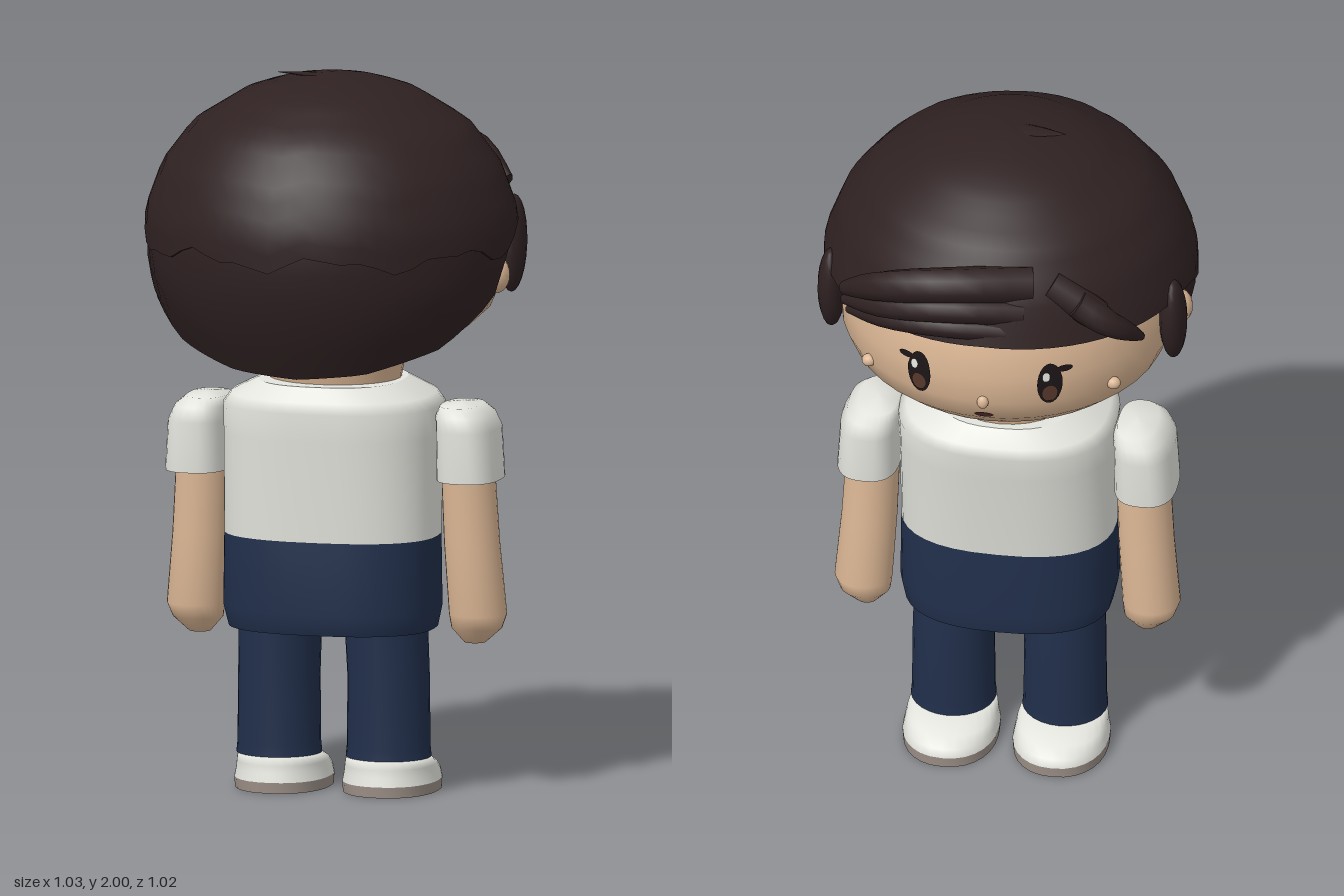
import * as THREE from 'three';

const mat = (name, color, side = THREE.FrontSide) => {
  const m = new THREE.MeshStandardMaterial({ color, side });
  m.name = name;
  return m;
};

// Piecewise-linear lookup in [key, value] pairs
function lookup(table, k) {
  for (let i = 1; i < table.length; i++) {
    const [k0, v0] = table[i - 1], [k1, v1] = table[i];
    if (k <= k1) return v0 + (v1 - v0) * Math.max(0, (k - k0) / (k1 - k0));
  }
  return table[table.length - 1][1];
}

// Closed rings of points joined into a surface
function rings(rows, cols, point) {
  const pos = [], idx = [];
  for (let i = 0; i < rows; i++)
    for (let j = 0; j < cols; j++) {
      pos.push(...point(i, j / cols));
      if (i === rows - 1) continue;
      const a = i * cols + j, b = i * cols + (j + 1) % cols;
      idx.push(a, b, a + cols, b, b + cols, a + cols);
    }
  const g = new THREE.BufferGeometry();
  g.setAttribute('position', new THREE.Float32BufferAttribute(pos, 3));
  g.setIndex(idx);
  g.computeVertexNormals();
  return g;
}

// Stack of rounded sections [y, cx, cz, rx, rz]; a repeated section makes a sharp edge
function loft(sections, power = 2, cols = 28) {
  const e = 2 / power, f = v => Math.sign(v) * Math.abs(v) ** e;
  return rings(sections.length, cols, (i, t) => {
    const [y, cx, cz, rx, rz] = sections[i], a = t * Math.PI * 2;
    return [cx + rx * f(Math.sin(a)), y, cz + rz * f(Math.cos(a))];
  });
}

// Tapered strand along a curve
function strand(points, thick, high, tipScale = 0.35) {
  const curve = new THREE.CatmullRomCurve3(points.map(p => new THREE.Vector3(...p)));
  const n = 10, up = new THREE.Vector3(0, 1, 0);
  return rings(n + 5, 8, (i, t) => {
    const u = Math.min(1, Math.max(0, (i - 2) / n));
    const c = curve.getPoint(u), tan = curve.getTangent(u);
    const side = tan.clone().cross(up).normalize(), v = side.clone().cross(tan);
    const s = i === 0 || i === n + 4 ? 0 : 1 - (1 - tipScale) * u ** 3;
    const a = t * Math.PI * 2;
    c.addScaledVector(side, Math.cos(a) * thick * s).addScaledVector(v, Math.sin(a) * high * s);
    return c.toArray();
  });
}

const HEAD = [[1.24, 0.19], [1.27, 0.29], [1.3, 0.375], [1.35, 0.43], [1.42, 0.46], [1.5, 0.465],
  [1.6, 0.455], [1.75, 0.4], [1.85, 0.28], [1.9, 0]];
const HAIR = [[1.2, 0.4], [1.3, 0.455], [1.4, 0.5], [1.5, 0.517], [1.62, 0.515], [1.75, 0.468],
  [1.86, 0.385], [1.95, 0.24], [1.98, 0.15], [1.995, 0.06], [2, 0]];
// Hair edge height by degrees away from the back
const EDGE = [[0, 1.205], [27, 1.22], [57, 1.28], [78, 1.4], [84, 1.51], [92, 1.58], [105, 1.6],
  [120, 1.6], [180, 1.62]];

function hairShell(scale, edgeAt) {
  const n = 16;
  return rings(n + 3, 64, (i, t) => {
    const a = t * Math.PI * 2, back = Math.cos(a);
    const edge = edgeAt(180 * (t < 0.5 ? 2 * t : 2 - 2 * t), t);
    const y = edge + (2 - edge) * Math.sin(Math.max(0, i - 2) / n * Math.PI / 2);
    const r = lookup(HAIR, y) * scale * (back < 0 ? 1 + 0.04 * back : 1) * (i === 0 ? 0.88 : 1);
    return [r * Math.sin(a), y, r * back];
  });
}

// Thin oval wrapped onto the face; turn is the angle from the middle of the face
function facePatch(turn, y0, w, h, lift) {
  const g = new THREE.CircleGeometry(1, 24), p = g.attributes.position;
  for (let i = 0; i < p.count; i++) {
    const y = y0 + p.getY(i) * h, r = lookup(HEAD, y) + lift, a = turn + p.getX(i) * w / 0.465;
    p.setXYZ(i, -r * Math.sin(a), y, -0.02 - r * Math.cos(a));
  }
  g.computeVertexNormals();
  return g;
}

export function createModel() {
  const model = new THREE.Group();
  const skin = mat('skin', 0xdcb795);
  const hair = mat('dark hair', 0x2f2122, THREE.DoubleSide);
  const white = mat('white cloth', 0xe4e4de);
  const navy = mat('navy cloth', 0x212f4b);
  const sole = mat('sole grey', 0x9c9087);
  const black = mat('eye dark', 0x1c1517);
  const iris = mat('iris brown', 0x59392c);
  const mouthRed = mat('mouth', 0x4b2725);

  const add = (name, geo, material) => {
    const m = new THREE.Mesh(geo, material);
    m.name = name;
    model.add(m);
    return m;
  };
  const blob = (name, material, x, y, z, sx, sy, sz) => {
    const m = add(name, new THREE.SphereGeometry(1, 16, 12), material);
    m.position.set(x, y, z);
    m.scale.set(sx, sy, sz);
    return m;
  };

  // Body
  add('shorts', loft([[0.46, 0, -0.01, 0, 0], [0.46, 0, -0.01, 0.287, 0.21], [0.46, 0, -0.01, 0.287, 0.21],
    [0.52, 0, -0.005, 0.3, 0.225], [0.72, 0, -0.005, 0.298, 0.213]], 2.5, 36), navy);
  add('shirt', loft([[0.72, 0, -0.005, 0.298, 0.213], [1, 0, -0.015, 0.3, 0.24], [1.08, 0, -0.02, 0.302, 0.252],
    [1.11, 0, -0.02, 0.28, 0.243], [1.15, 0, -0.015, 0.2, 0.205], [1.15, 0, -0.015, 0.2, 0.205],
    [1.15, 0, -0.015, 0, 0]], 2.5, 36), white);
  add('neck', loft([[1.13, 0, -0.03, 0.18, 0.165], [1.26, 0, -0.025, 0.205, 0.195]]), skin);

  // Limbs
  for (const s of [1, -1]) {
    const side = s > 0 ? 'Left' : 'Right';
    const part = (name, sections, material, power) =>
      add(name + side, loft(sections.map(([y, x, ...r]) => [y, x * s, ...r]), power), material);
    part('arm', [[0.415, 0.39, -0.055, 0, 0], [0.42, 0.39, -0.055, 0.03, 0.03], [0.46, 0.395, -0.055, 0.07, 0.065],
      [0.5, 0.4, -0.05, 0.08, 0.08], [0.7, 0.385, -0.042, 0.077, 0.077], [0.92, 0.375, -0.035, 0.074, 0.076]], skin);
    part('sleeve', [[0.88, 0.385, -0.03, 0.05, 0.06], [0.88, 0.385, -0.03, 0.087, 0.125], [0.88, 0.385, -0.03, 0.087, 0.125],
      [1.02, 0.38, -0.03, 0.083, 0.13], [1.06, 0.37, -0.03, 0.075, 0.118], [1.085, 0.36, -0.03, 0.055, 0.095],
      [1.09, 0.36, -0.03, 0, 0]], white, 2.6);
    part('leg', [[0.1, 0.155, -0.017, 0, 0], [0.1, 0.155, -0.017, 0.118, 0.117], [0.1, 0.155, -0.017, 0.118, 0.117],
      [0.13, 0.155, -0.017, 0.115, 0.115], [0.32, 0.155, -0.017, 0.113, 0.115], [0.47, 0.15, -0.01, 0.115, 0.11]], navy);
    part('sole', [[0, 0.153, -0.065, 0, 0], [0, 0.153, -0.065, 0.131, 0.172], [0, 0.153, -0.065, 0.131, 0.172],
      [0.03, 0.153, -0.065, 0.133, 0.174]], sole, 2.2);
    part('shoe', [[0.03, 0.153, -0.065, 0.133, 0.174], [0.055, 0.153, -0.065, 0.128, 0.168],
      [0.075, 0.153, -0.05, 0.124, 0.148], [0.1, 0.153, -0.015, 0.115, 0.112], [0.1, 0.153, -0.015, 0, 0]], white, 2.2);
  }

  // Head and face, which looks towards -z
  const head = add('head', new THREE.LatheGeometry(
    [[1.24, 0], ...HEAD].map(([y, r]) => new THREE.Vector2(r, y)), 40), skin);
  head.position.z = -0.02;
  blob('nose', skin, 0, 1.425, -0.482, 0.016, 0.02, 0.014);
  add('mouth', facePatch(0, 1.37, 0.028, 0.01, 0.004), mouthRed);
  for (const s of [1, -1]) {
    blob('ear', skin, s * 0.465, 1.455, 0.01, 0.04, 0.052, 0.042);
    blob('cheek', skin, s * 0.34, 1.425, -0.335, 0.02, 0.018, 0.018);
    add('eye', facePatch(s * 0.4, 1.485, 0.036, 0.066, 0.004), black);
    add('iris', facePatch(s * 0.4, 1.455, 0.022, 0.026, 0.007), iris);
    add('eyeHighlight', facePatch(s * 0.4 - 0.025, 1.512, 0.011, 0.015, 0.009), white);
    const lash = add('lash', facePatch(s * 0.49, 1.53, 0.024, 0.01, 0.005), black);
    lash.rotation.y = 0;
    // Lock hanging before the ear
    const lock = blob('sideLock', hair, s * 0.475, 1.52, -0.14, 0.038, 0.135, 0.062);
    lock.rotation.set(-0.12, 0, 0);
  }

  // Hair: lower layer and an upper layer with a ragged edge
  add('hairLower', hairShell(0.985, d => lookup(EDGE, d)), hair);
  add('hairUpper', hairShell(1, (d, t) =>
    Math.max(lookup(EDGE, d), 1.54 + 0.018 * Math.sin(t * 50) + 0.01 * Math.sin(t * 113))), hair);

  // Swept fringe
  add('fringeTop', strand([[-0.12, 1.77, -0.385], [0.1, 1.785, -0.45], [0.29, 1.74, -0.42], [0.41, 1.66, -0.335]],
    0.05, 0.055), hair);
  add('fringeMiddle', strand([[-0.1, 1.7, -0.42], [0.1, 1.72, -0.47], [0.28, 1.68, -0.43], [0.41, 1.62, -0.33]],
    0.04, 0.04), hair);
  add('fringeLow', strand([[-0.06, 1.65, -0.45], [0.12, 1.66, -0.47], [0.28, 1.63, -0.42], [0.4, 1.58, -0.32]],
    0.03, 0.032), hair);
  add('fringeShort', strand([[-0.17, 1.76, -0.37], [-0.31, 1.68, -0.385]], 0.045, 0.05, 0.9), hair);
  add('fringeTail', strand([[-0.25, 1.73, -0.4], [-0.34, 1.67, -0.4], [-0.415, 1.58, -0.32]], 0.045, 0.04, 0.3), hair);
  // Tuft on the crown
  add('crownTuft', strand([[0.1, 1.975, 0.02], [0, 1.99, 0.02], [-0.15, 1.994, 0.015]], 0.04, 0.008, 0.05), hair);

  return model;
}
